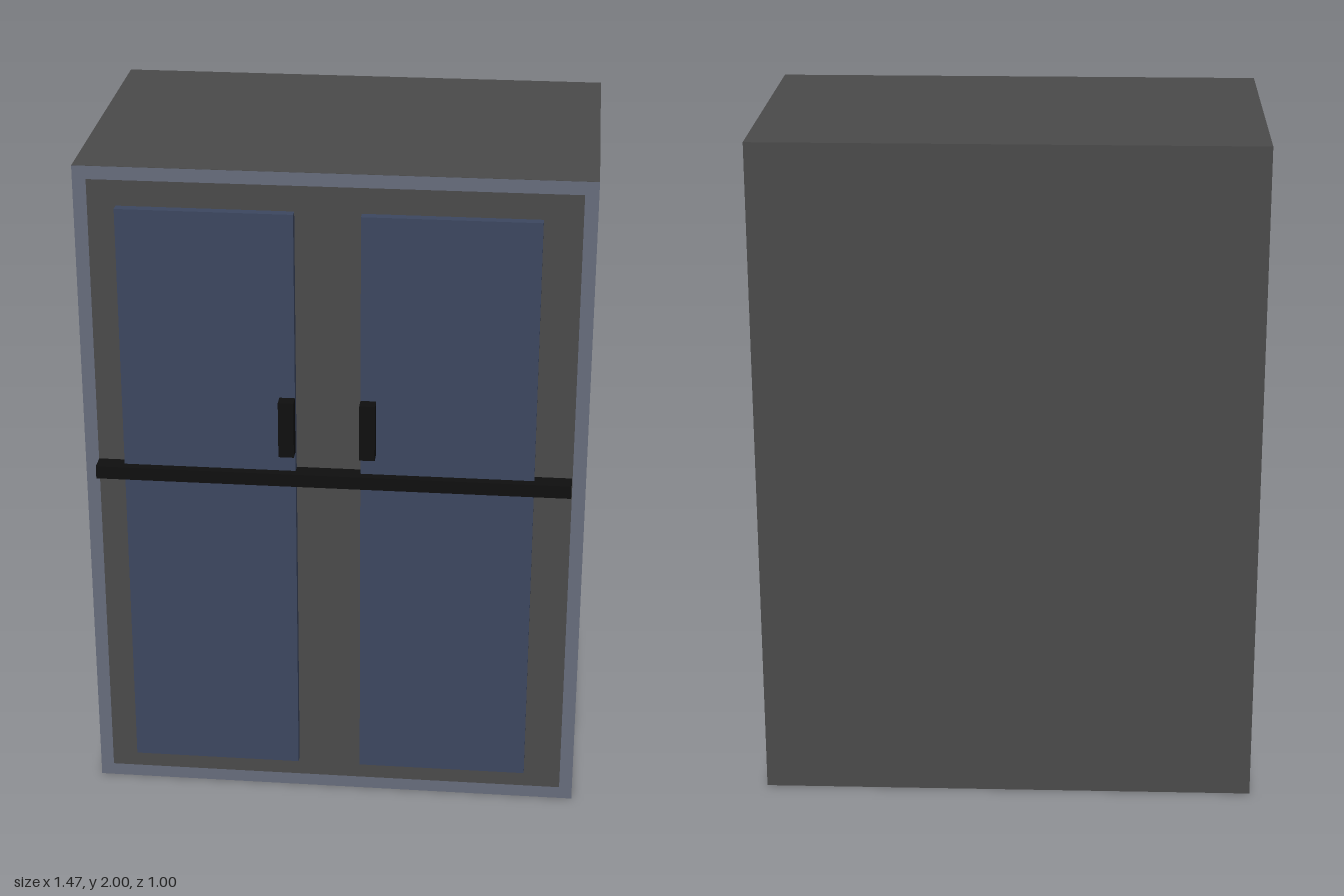
import * as THREE from 'three';

const material = (name, color) => {
  const m = new THREE.MeshStandardMaterial({ color });
  m.name = name;
  return m;
};

export function createModel() {
  const grey = material('dark grey', 0x4a4a4a);
  const blue = material('navy blue', 0x3c4760);
  const trim = material('slate trim', 0x676d7c);
  const black = material('black', 0x0f0f0f);

  const model = new THREE.Group();
  model.name = 'cabinet';

  // Box given by its minimum and maximum corners
  const addBox = (name, mat, [x0, y0, z0], [x1, y1, z1]) => {
    const mesh = new THREE.Mesh(new THREE.BoxGeometry(x1 - x0, y1 - y0, z1 - z0), mat);
    mesh.position.set((x0 + x1) / 2, (y0 + y1) / 2, (z0 + z1) / 2);
    mesh.name = name;
    model.add(mesh);
  };

  const W = 0.733, H = 2, FRONT = 0.433, DOOR = 0.461;
  addBox('body', grey, [-W, 0, -0.5], [W, H, FRONT]);

  // Flat border around the front face
  const rectangle = (path, x, y0, y1) =>
    path.moveTo(-x, y0).lineTo(x, y0).lineTo(x, y1).lineTo(-x, y1).closePath();
  const border = rectangle(new THREE.Shape(), W, 0, H);
  border.holes.push(rectangle(new THREE.Path(), W - 0.039, 0.039, H - 0.039));
  const frame = new THREE.Mesh(new THREE.ShapeGeometry(border), trim);
  frame.position.z = FRONT + 0.002;
  frame.name = 'frontFrame';
  model.add(frame);

  // Doors, each with a handle on its inner edge
  addBox('rightDoor', blue, [-0.613, 0.1, FRONT], [-0.109, 1.885, DOOR]);
  addBox('leftDoor', blue, [0.08, 0.1, FRONT], [0.584, 1.885, DOOR]);
  addBox('rightHandle', black, [-0.154, 1.157, DOOR], [-0.109, 1.328, 0.5]);
  addBox('leftHandle', black, [0.08, 1.157, DOOR], [0.125, 1.328, 0.5]);

  // Bar across the front
  addBox('crossBar', black, [-0.694, 1.057, FRONT], [0.692, 1.096, 0.487]);

  return model;
}
